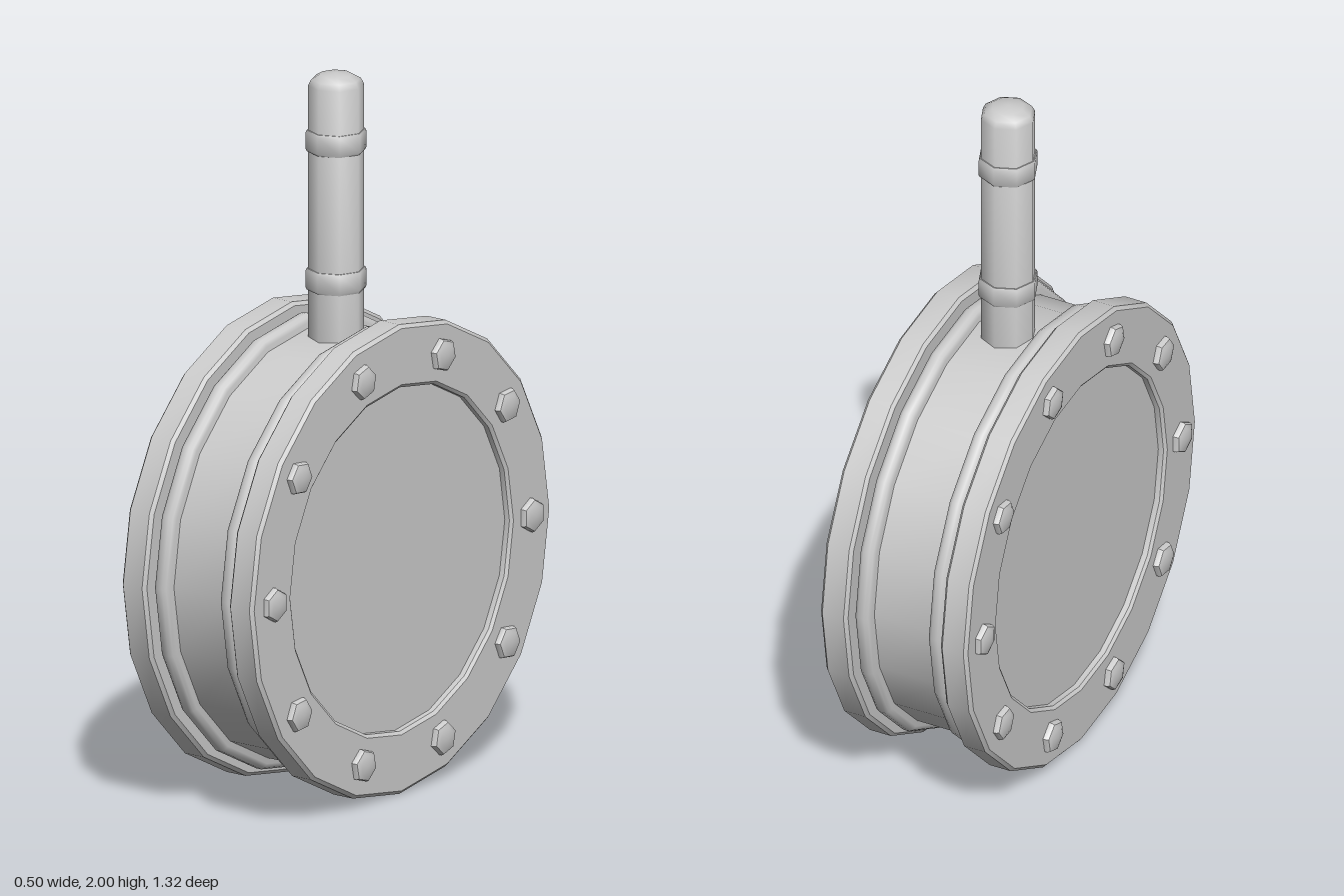
import * as THREE from 'three';
import { toCreasedNormals } from 'three/addons/utils/BufferGeometryUtils.js';

const CENTER_Y = 0.664;
const SIDES = 20;
const BOLTS = 10;
const material = new THREE.MeshStandardMaterial({ color: 0xcccccc });

// Revolved [radius, height] profile with sharp edges kept
function turned(profile, sides, crease = 0.5) {
  const points = profile.map(([r, h]) => new THREE.Vector2(r, h));
  return toCreasedNormals(new THREE.LatheGeometry(points, sides), crease);
}

// Same, but lying along the x axis
const turnedX = (profile, sides, crease) => turned(profile, sides, crease).rotateZ(-Math.PI / 2);

function part(name, geometry, parent) {
  const mesh = new THREE.Mesh(geometry, material);
  mesh.name = name;
  parent.add(mesh);
  return mesh;
}

export function createModel() {
  const model = new THREE.Group();
  model.name = 'drumWithStem';

  const body = new THREE.Group();
  body.name = 'body';
  body.position.y = CENTER_Y;
  model.add(body);

  // Central drum and the narrower hub that joins the flanges
  part('drum', turnedX([[0, -0.1], [0.602, -0.1], [0.602, 0.1], [0, 0.1]], SIDES), body);
  part('hub', turnedX([[0.49, -0.16], [0.49, 0.16]], SIDES), body);

  // Flange with a shallow recessed face
  const flange = turnedX([
    [0, 0.143], [0.652, 0.143], [0.662, 0.152], [0.662, 0.217], [0.652, 0.226],
    [0.494, 0.226], [0.485, 0.219], [0.485, 0.203], [0, 0.203],
  ], SIDES);

  // Rounded ring between the drum and the flange
  const ring = turnedX([
    [0.5, 0.089], [0.618, 0.089], [0.63, 0.094], [0.636, 0.104],
    [0.636, 0.122], [0.63, 0.132], [0.618, 0.137], [0.48, 0.137],
  ], SIDES, 0.7);

  // Six-sided bolt with a slightly domed head
  const bolt = turned([
    [0.048, 0.215], [0.048, 0.235], [0.044, 0.242], [0.03, 0.247], [0, 0.25],
  ], 6, 0.7).rotateY(Math.PI / 6).rotateZ(-Math.PI / 2);

  for (const side of ['left', 'right']) {
    const end = new THREE.Group();
    end.name = side + 'End';
    end.rotation.y = side === 'left' ? 0 : Math.PI;
    body.add(end);
    part(side + 'Flange', flange, end);
    part(side + 'Ring', ring, end);
    for (let i = 0; i < BOLTS; i++) {
      const angle = (i / BOLTS) * Math.PI * 2;
      const mesh = part(side + 'Bolt' + (i + 1), bolt, end);
      mesh.position.set(0, -Math.sin(angle) * 0.568, Math.cos(angle) * 0.568);
      mesh.rotation.x = angle;
    }
  }

  // Upright stem with a domed tip
  part('stem', turned([
    [0.077, 1.2], [0.077, 1.965], [0.068, 1.982], [0.045, 1.995], [0, 2],
  ], 8, 0.9), model);

  // Two bands around the stem
  const band = turned([
    [0.074, -0.03], [0.08, -0.03], [0.083, -0.024],
    [0.083, 0.024], [0.08, 0.03], [0.074, 0.03],
  ], 8, 0.9);
  part('lowerBand', band, model).position.y = 1.42;
  part('upperBand', band, model).position.y = 1.81;

  return model;
}
